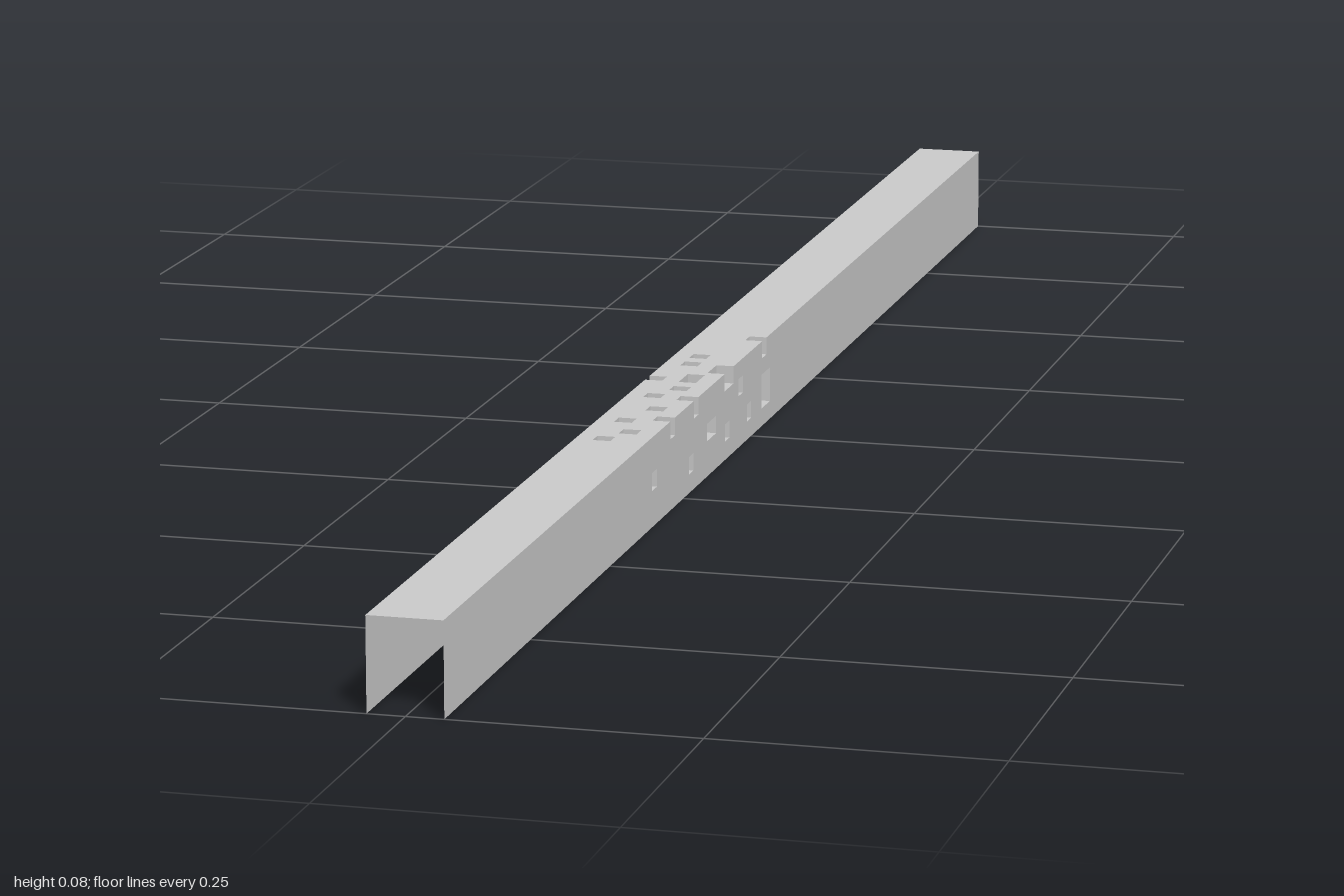
import * as THREE from 'three';

const W = 0.033, H = 0.083, L = 1, C = 0.0166; // half width, height, half length, pocket cell
const material = new THREE.MeshStandardMaterial({ color: 0xcccccc, side: THREE.DoubleSide });

// Pockets as [centre z, cross centre, length in cells, cross size in cells]
const topPockets = [
  [0.035, -0.008, 1, 1], [0.067, -0.008, 1, 1], [0.125, 0.008, 2, 1], [0.167, 0.008, 1, 1],
  [0.2, -0.008, 1, 1], [0.25, 0.008, 1, 1], [0.3, -0.008, 1, 1], [0.342, 0.008, 1, 1],
  [0.372, -0.008, 1, 1],
];
const sidePockets = [
  [0.35, 0.042, 1, 1], [0.222, 0.026, 1, 1], [0.148, 0.042, 2, 1], [0.09, 0.026, 1, 1],
  [0.04, 0.058, 1, 1], [0.008, 0.026, 1, 1], [-0.056, 0.034, 2, 2],
];
// Notches cut through the folded edges as [centre z, length in cells]
const rightNotches = [[-0.051, 1], [0.083, 2], [0.204, 1], [0.287, 1]];
const leftNotches = [[0.132, 1]];

// Flat sheet along z: u = dir * z, v runs across from v0 to v1
function sheet(name, dir, v0, v1, vAxis, normal, offset, lowNotches, highNotches, pockets) {
  const pts = [];
  const edge = (notches, v, inward, step) => {
    const spans = notches.map(([z, n]) => [dir * z, n * C / 2]).sort((a, b) => step * (a[0] - b[0]));
    pts.push([-step * L, v]);
    for (const [u, h] of spans) {
      const a = u - step * h, b = u + step * h;
      pts.push([a, v], [a, v + inward], [b, v + inward], [b, v]);
    }
    pts.push([step * L, v]);
  };
  edge(lowNotches, v0, C, 1);
  edge(highNotches, v1, -C, -1);
  const shape = new THREE.Shape(pts.map(p => new THREE.Vector2(...p)));
  for (const [z, v, nu, nv] of pockets) {
    const u = dir * z, a = nu * C / 2, b = nv * C / 2;
    shape.holes.push(new THREE.Path([
      new THREE.Vector2(u - a, v - b), new THREE.Vector2(u - a, v + b),
      new THREE.Vector2(u + a, v + b), new THREE.Vector2(u + a, v - b),
    ]));
  }
  const basis = new THREE.Matrix4().makeBasis(new THREE.Vector3(0, 0, dir), vAxis, normal);
  basis.setPosition(normal.clone().multiplyScalar(offset));
  const mesh = new THREE.Mesh(new THREE.ShapeGeometry(shape).applyMatrix4(basis), material);
  mesh.name = name;
  return mesh;
}

// Recess lining: a box without its open faces (0 +x, 1 -x, 2 +y)
function recess(name, size, pos, open) {
  const geo = new THREE.BoxGeometry(...size);
  const index = Array.from(geo.index.array).filter((_, i) => !open.includes(Math.floor(i / 6)));
  // Turn the faces to look into the recess
  for (let i = 0; i < index.length; i += 3) [index[i], index[i + 1]] = [index[i + 1], index[i]];
  geo.setIndex(index);
  geo.clearGroups();
  geo.computeVertexNormals();
  const mesh = new THREE.Mesh(geo, material);
  mesh.position.set(...pos);
  mesh.name = name;
  return mesh;
}

export function createModel() {
  const group = new THREE.Group();
  group.name = 'channelBeam';
  const X = new THREE.Vector3(1, 0, 0), Y = new THREE.Vector3(0, 1, 0);

  // Three sheets of the inverted channel, open at the ends and below
  group.add(
    sheet('topSheet', 1, -W, W, X, Y, H, leftNotches, rightNotches, topPockets),
    sheet('leftSheet', -1, 0, H, Y, X, W, [], rightNotches, sidePockets),
    sheet('rightSheet', 1, 0, H, Y, X.clone().negate(), W, [], leftNotches, []),
  );

  // Pocket linings
  for (const [z, x, nz, nx] of topPockets)
    group.add(recess('topPocket', [nx * C, C, nz * C], [x, H - C / 2, z], [2]));
  for (const [z, y, nz, ny] of sidePockets)
    group.add(recess('sidePocket', [C, ny * C, nz * C], [W - C / 2, y, z], [0]));

  // Edge notch linings
  for (const [list, side, face] of [[rightNotches, 1, 0], [leftNotches, -1, 1]])
    for (const [z, n] of list)
      group.add(recess('edgeNotch', [C, C, n * C], [side * (W - C / 2), H - C / 2, z], [face, 2]));

  return group;
}
